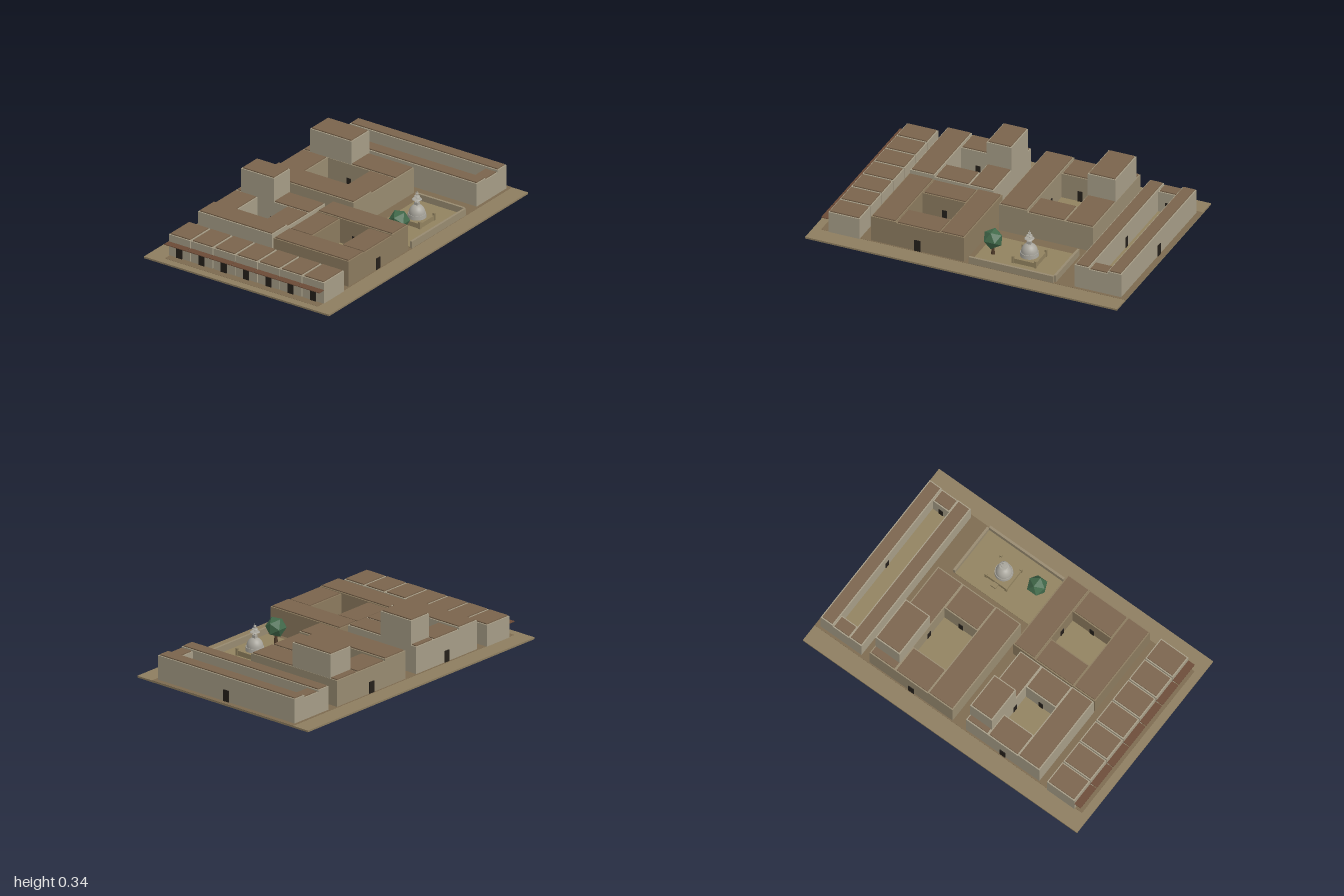
import * as THREE from 'three';

const COLORS = {
  earth: 0x8d7d5f, lane: 0x7c6a4f, floor: 0x91825f, pale: 0xa59c86, mud: 0x8b7a5e,
  tan: 0x978a70, roof: 0x7a644c, door: 0x241f1a, awning: 0x6b4a36, stone: 0xa8a59c,
  leaf: 0x41694a, bark: 0x4f3b29,
};
const mats = {};
for (const [key, color] of Object.entries(COLORS)) {
  mats[key] = new THREE.MeshStandardMaterial({ color, flatShading: key === 'leaf' });
}
const GROUND = 0.012;

function add(parent, name, geometry, mat, x = 0, y = 0, z = 0) {
  const mesh = new THREE.Mesh(geometry, mats[mat]);
  mesh.name = name;
  mesh.position.set(x, y, z);
  parent.add(mesh);
  return mesh;
}

// Box given by its limits on each axis
function block(parent, name, mat, x0, x1, y0, y1, z0, z1) {
  return add(parent, name, new THREE.BoxGeometry(x1 - x0, y1 - y0, z1 - z0), mat,
    (x0 + x1) / 2, (y0 + y1) / 2, (z0 + z1) / 2);
}

// Walled volume with a slightly inset flat roof slab
function wing(parent, name, mat, x0, x1, z0, z1, top, bottom = GROUND) {
  const g = new THREE.Group();
  g.name = name;
  const inset = 0.008;
  block(g, 'walls', mat, x0, x1, bottom, top - 0.007, z0, z1);
  block(g, 'roof', 'roof', x0 + inset, x1 - inset, top - 0.007, top, z0 + inset, z1 - inset);
  parent.add(g);
}

// Thin dark door panel; alongX is true when it lies in a wall facing z
function door(parent, x, z, alongX, w = 0.04, h = 0.072) {
  add(parent, 'door', new THREE.BoxGeometry(alongX ? w : 0.007, h, alongX ? 0.007 : w),
    'door', x, GROUND + h / 2, z);
}

// Four wings round an open court: outer and court are [x0, x1, z0, z1]
function courtyardHouse(parent, o) {
  const g = new THREE.Group();
  g.name = o.name;
  const [x0, x1, z0, z1] = o.outer;
  const [cx0, cx1, cz0, cz1] = o.court;
  const gap = 0.003;
  wing(g, 'frontWing', o.mat, x0, x1, cz1 + gap, z1, o.front);
  wing(g, 'backWing', o.mat, x0, x1, z0, cz0 - gap, o.back);
  wing(g, 'rightWing', o.mat, x0, cx0, cz0 - gap, cz1 + gap, o.side);
  wing(g, 'leftWing', o.mat, cx1, x1, cz0 - gap, cz1 + gap, o.side);
  block(g, 'courtFloor', 'floor', cx0, cx1, GROUND, GROUND + 0.004, cz0 - gap, cz1 + gap);
  const mx = (cx0 + cx1) / 2, mz = (cz0 + cz1) / 2;
  door(g, cx0, mz, false, 0.03);
  door(g, cx1, mz, false, 0.03);
  door(g, mx, cz0 - gap, true, 0.03);
  door(g, mx, cz1 + gap, true, 0.03);
  if (o.entrance) door(g, ...o.entrance);
  if (o.tower) {
    const [tx0, tx1, tz0, tz1, top] = o.tower;
    wing(g, 'upperRoom', 'pale', tx0, tx1, tz0, tz1, top, o.back - 0.01);
  }
  parent.add(g);
}

// Domed shrine on a square plinth with railing posts and an umbrella spire
function shrine(parent, x, z) {
  const g = new THREE.Group();
  g.name = 'shrine';
  g.position.set(x, 0.016, z);
  const box = (w, h, d) => new THREE.BoxGeometry(w, h, d);
  const disc = (r0, r1, h) => new THREE.CylinderGeometry(r0, r1, h, 24);
  add(g, 'plinth', box(0.15, 0.03, 0.15), 'floor', 0, 0.015, 0);
  add(g, 'step', box(0.03, 0.015, 0.035), 'floor', -0.09, 0.0075, 0);
  for (const sx of [-1, 1]) {
    for (const sz of [-1, 1]) {
      add(g, 'cornerPost', box(0.014, 0.045, 0.014), 'floor', sx * 0.073, 0.0225, sz * 0.073);
    }
  }
  add(g, 'drum', disc(0.054, 0.056, 0.024), 'stone', 0, 0.042, 0);
  // Dome profile
  const dome = [];
  for (let i = 0; i <= 10; i++) {
    const a = (i / 10) * Math.PI / 2;
    dome.push(new THREE.Vector2(0.05 * Math.cos(a), 0.054 + 0.056 * Math.sin(a)));
  }
  add(g, 'dome', new THREE.LatheGeometry(dome, 28), 'stone');
  add(g, 'finialBox', box(0.024, 0.018, 0.024), 'stone', 0, 0.117, 0);
  add(g, 'spire', disc(0.002, 0.004, 0.07), 'stone', 0, 0.16, 0);
  [[0.145, 0.03], [0.164, 0.019], [0.181, 0.01]].forEach(([y, r]) => {
    add(g, 'umbrella', disc(r * 0.85, r, 0.004), 'stone', 0, y, 0);
  });
  parent.add(g);
}

export function createModel() {
  const model = new THREE.Group();
  model.name = 'courtyardSettlement';

  // Ground
  block(model, 'ground', 'earth', -0.665, 0.665, 0, GROUND - 0.001, -1, 1);
  block(model, 'lanes', 'lane', -0.55, 0.55, GROUND - 0.002, GROUND, -1, 0.95);

  // Row of shops with doors and flat awnings
  const shops = new THREE.Group();
  shops.name = 'shopRow';
  for (let i = 0; i < 7; i++) {
    const x = (i - 3) * 0.16;
    wing(shops, 'shop', 'pale', x - 0.077, x + 0.077, 0.70, 0.90, 0.153);
    door(shops, x, 0.902, true);
    block(shops, 'awning', 'awning', x - 0.077, x + 0.077, 0.097, 0.101, 0.895, 0.946);
  }
  model.add(shops);

  // Houses
  courtyardHouse(model, {
    name: 'frontRightHouse', mat: 'pale', outer: [-0.54, -0.008, 0.097, 0.632],
    court: [-0.38, -0.167, 0.258, 0.472], front: 0.2, back: 0.188, side: 0.188,
    tower: [-0.5, -0.262, 0.097, 0.256, 0.342], entrance: [-0.541, 0.365, false],
  });
  courtyardHouse(model, {
    name: 'frontLeftHouse', mat: 'mud', outer: [0.003, 0.542, 0.035, 0.632],
    court: [0.165, 0.375, 0.195, 0.47], front: 0.181, back: 0.181, side: 0.175,
    entrance: [0.543, 0.335, false],
  });
  courtyardHouse(model, {
    name: 'middleHouse', mat: 'tan', outer: [-0.542, 0.127, -0.604, 0.001],
    court: [-0.36, -0.057, -0.418, -0.183], front: 0.194, back: 0.182, side: 0.182,
    tower: [-0.49, -0.192, -0.602, -0.424, 0.332], entrance: [-0.543, -0.3, false],
  });
  courtyardHouse(model, {
    name: 'rearLongHouse', mat: 'pale', outer: [-0.534, 0.532, -0.968, -0.669],
    court: [-0.447, 0.443, -0.877, -0.763], front: 0.166, back: 0.171, side: 0.156,
    entrance: [0, -0.969, true],
  });

  // Shrine yard with low walls
  const yard = new THREE.Group();
  yard.name = 'shrineYard';
  block(yard, 'yardFloor', 'floor', 0.2, 0.534, GROUND, 0.016, -0.535, 0);
  block(yard, 'backWall', 'tan', 0.2, 0.532, GROUND, 0.056, -0.55, -0.535);
  block(yard, 'sideWall', 'tan', 0.534, 0.549, GROUND, 0.056, -0.538, 0.004);
  shrine(yard, 0.365, -0.303);
  model.add(yard);

  // Tree
  const tree = new THREE.Group();
  tree.name = 'tree';
  tree.position.set(0.395, 0.014, -0.083);
  add(tree, 'trunk', new THREE.CylinderGeometry(0.008, 0.012, 0.07, 8), 'bark', 0, 0.035, 0);
  add(tree, 'foliage', new THREE.IcosahedronGeometry(0.064, 0), 'leaf', 0, 0.106, 0);
  model.add(tree);

  return model;
}
